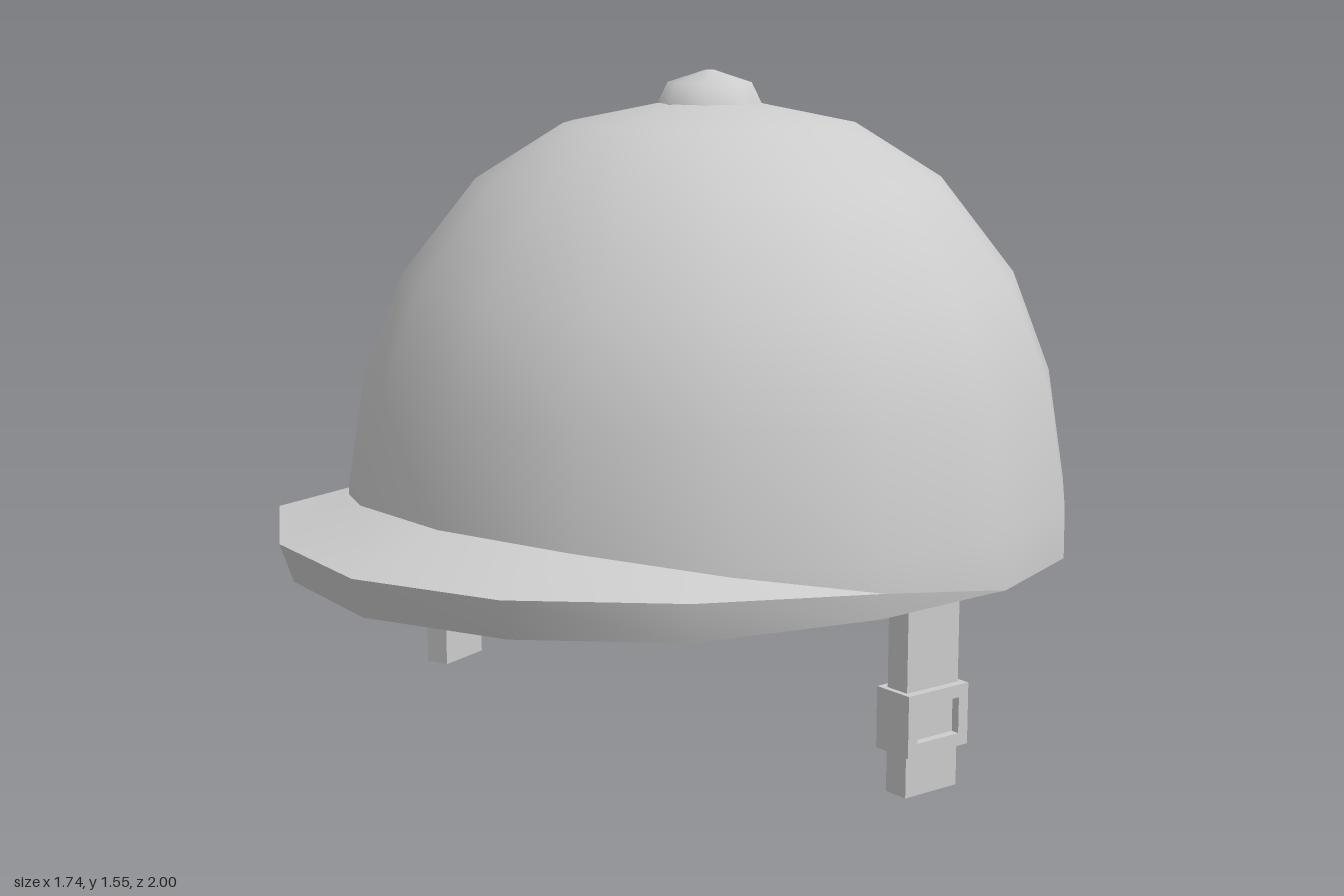
import * as THREE from 'three';
import { toCreasedNormals } from 'three/addons/utils/BufferGeometryUtils.js';

const SIDES = 16;
const CENTRE_Z = -0.125;

export function createModel() {
  const group = new THREE.Group();
  group.name = 'ridingHelmet';
  const grey = new THREE.MeshStandardMaterial({ color: 0xcccccc, side: THREE.DoubleSide });
  grey.name = 'light grey';

  const add = (name, geometry, parent = group) => {
    const mesh = new THREE.Mesh(geometry, grey);
    mesh.name = name;
    parent.add(mesh);
    return mesh;
  };

  const lathe = (name, profile, sides = SIDES) => {
    const points = profile.map(([r, y]) => new THREE.Vector2(r, y));
    const mesh = add(name, new THREE.LatheGeometry(points, sides));
    mesh.position.z = CENTRE_Z;
    return mesh;
  };

  // Thin open shell from the lower edge to the crown
  lathe('shell', [
    [0.872, 0.44], [0.871, 0.56], [0.828, 0.83], [0.735, 1.07],
    [0.555, 1.3], [0.347, 1.43], [0.12, 1.476], [0.01, 1.48],
  ]).scale.z = 1.003;

  // Headband standing clear of the shell, one sharp-edged face at a time
  const band = [[0.67, 0.64], [0.67, 0.44], [0.745, 0.44], [0.745, 0.64], [0.67, 0.64]];
  ['Inside', 'Bottom', 'Outside', 'Top'].forEach((face, i) =>
    lathe('headband' + face, [band[i], band[i + 1]]));

  // Crown button
  lathe('crownButton', [[0.125, 1.474], [0.1, 1.525], [0.01, 1.554], [0, 1.554]], 8)
    .rotation.y = -0.16;

  add('brim', brimGeometry());

  // Chin straps, turned to follow the shell facets and tucked behind its edge
  for (const side of [1, -1]) {
    const strap = new THREE.Group();
    strap.name = side > 0 ? 'leftStrap' : 'rightStrap';
    strap.position.set(side * 0.763, 0, 0.025);
    strap.rotation.y = -side * 0.18;
    group.add(strap);
    add('strapBand', new THREE.BoxGeometry(0.062, 0.54, 0.152), strap).position.y = 0.27;
    if (side > 0) {
      const buckle = add('buckle', buckleGeometry(), strap);
      buckle.rotation.y = Math.PI / 2;
      buckle.position.set(-0.051, 0.168, 0);
    }
  }
  return group;
}

// Open rectangular frame around the strap
function buckleGeometry() {
  const rectangle = (shape, w, h) => shape
    .moveTo(-w / 2, -h / 2).lineTo(w / 2, -h / 2)
    .lineTo(w / 2, h / 2).lineTo(-w / 2, h / 2).closePath();
  const frame = new THREE.Shape();
  const hole = new THREE.Path();
  rectangle(frame, 0.178, 0.14);
  rectangle(hole, 0.122, 0.082);
  frame.holes.push(hole);
  return new THREE.ExtrudeGeometry(frame, { depth: 0.102, bevelEnabled: false });
}

// Tapering brim: sections of inner top, outer top, outer bottom, inner bottom
function brimGeometry() {
  const tip = [0.872, 0.441, -0.125];
  const side = [0.825, 0.498, 0.25];
  const half = [
    [[0, 0.592, 0.758], [0, 0.53, 1.0], [0, 0.44, 0.97], [0, 0.44, 0.745]],
    [[0.336, 0.584, 0.692], [0.355, 0.53, 0.91], [0.345, 0.44, 0.88], [0.333, 0.44, 0.68]],
    [[0.618, 0.545, 0.502], [0.66, 0.53, 0.67], [0.64, 0.44, 0.65], [0.614, 0.44, 0.49]],
    [side, side, [0.815, 0.44, 0.245], [0.803, 0.44, 0.208]],
    [tip, tip, tip, tip],
  ];
  const mirrored = half.slice(1).reverse()
    .map((section) => section.map(([x, y, z]) => [-x, y, z]));
  const sections = [...mirrored, ...half];
  const positions = [];
  const triangle = (...corners) => {
    const [a, b, c] = corners.map((p) => new THREE.Vector3(...p));
    if (new THREE.Triangle(a, b, c).getArea() > 1e-6) positions.push(...corners.flat());
  };
  for (let k = 0; k < sections.length - 1; k++) {
    for (let j = 0; j < 3; j++) {
      const a = sections[k][j], b = sections[k][j + 1];
      const c = sections[k + 1][j + 1], d = sections[k + 1][j];
      triangle(a, b, c);
      triangle(a, c, d);
    }
  }
  const geometry = new THREE.BufferGeometry();
  geometry.setAttribute('position', new THREE.Float32BufferAttribute(positions, 3));
  return toCreasedNormals(geometry, 0.6);
}
